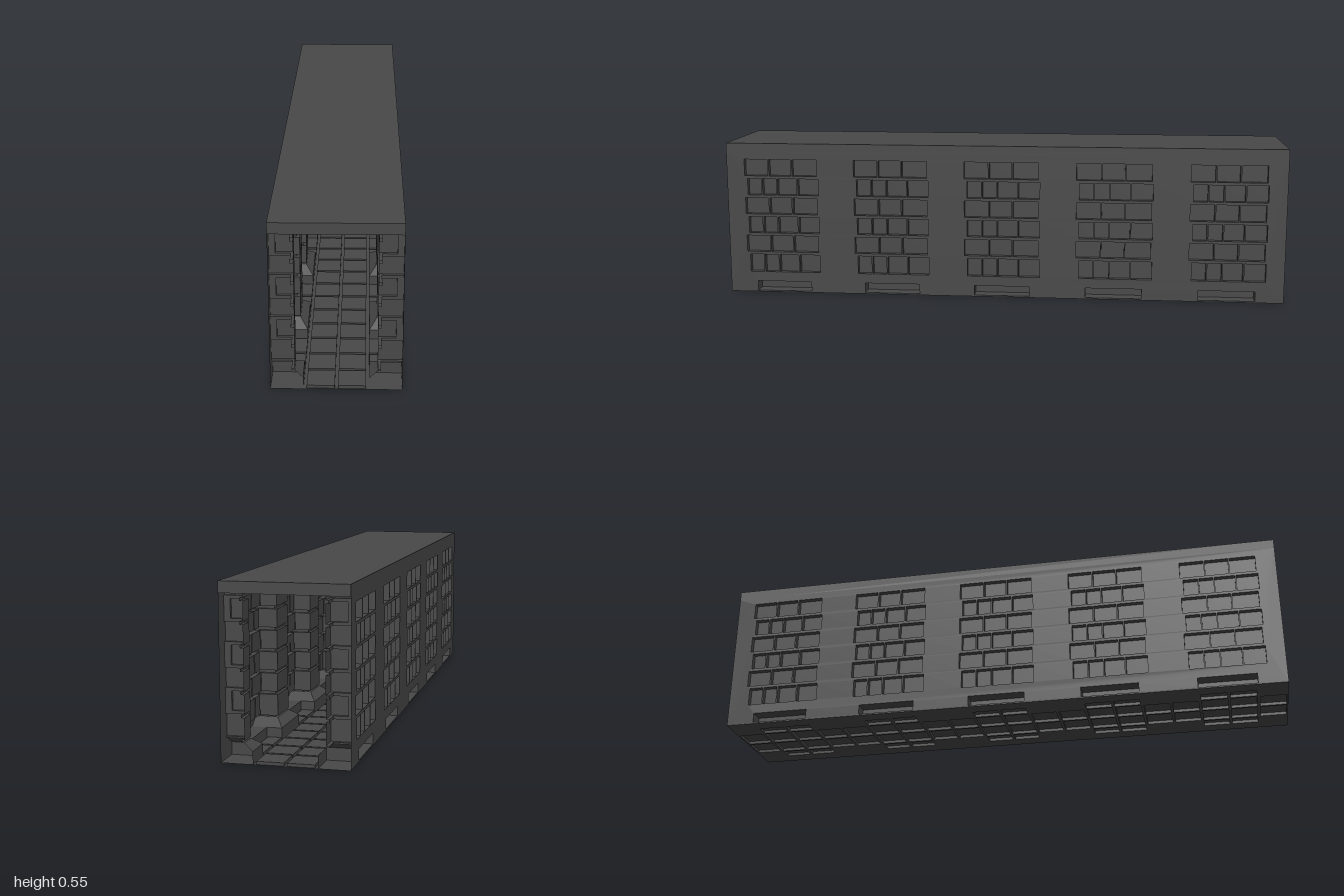
import * as THREE from 'three';
import { mergeGeometries } from 'three/addons/utils/BufferGeometryUtils.js';

const stone = new THREE.MeshStandardMaterial({ color: 0x484848, side: THREE.DoubleSide });
stone.name = 'dark stone';

const PX = 0, NY = 3; // box faces that can be left open

function mesh(name, geometry) {
  const m = new THREE.Mesh(geometry, stone);
  m.name = name;
  return m;
}

// Hollow box with one open face
function openBox([x0, x1], [y0, y1], [z0, z1], open) {
  const g = new THREE.BoxGeometry(x1 - x0, y1 - y0, z1 - z0);
  g.translate((x0 + x1) / 2, (y0 + y1) / 2, (z0 + z1) / 2);
  g.setIndex([...g.index.array].filter((_, i) => Math.floor(i / 6) !== open));
  g.clearGroups();
  return g;
}

// Flat sheet with rectangular holes given as [u0, u1, v0, v1]
function sheet(u0, u1, v0, v1, holes) {
  const rect = (Type, a, b, c, d) => {
    const p = new Type();
    p.moveTo(a, c); p.lineTo(b, c); p.lineTo(b, d); p.lineTo(a, d); p.closePath();
    return p;
  };
  const shape = rect(THREE.Shape, u0, u1, v0, v1);
  shape.holes = holes.map(([a, b, c, d]) => rect(THREE.Path, a, d === undefined ? a : b, c, d));
  return new THREE.ShapeGeometry(shape);
}

// Pillar levels: height, inner x, half width, x where block meets core, core half width
const CORE = [0.135, 0.05, 0.2, 0.05];
const LARGE = [0.125, 0.06, 0.2, 0.06];
const SMALL = [0.125, 0.06, 0.18, 0.05];
const levels = [[0, 0.1, 0.1, 0.2, 0.1], [0.04, 0.1, 0.1, 0.2, 0.1], [0.065, ...LARGE]];
for (const [y0, y1, block] of [
  [0.07, 0.14, LARGE], [0.15, 0.21, SMALL], [0.22, 0.28, LARGE], [0.29, 0.35, SMALL],
  [0.36, 0.42, LARGE], [0.43, 0.49, SMALL], [0.5, 0.512, LARGE],
]) {
  levels.push([levels[levels.length - 1][0], ...CORE], [y0, ...CORE], [y0, ...block], [y1, ...block]);
}

// Hollow pillar, open towards the wall; an end pillar keeps only one half
function pillar(zc, side) {
  const rings = levels.map(([y, xi, h, xb, hc]) => {
    const half = [[xi, h], [xb, h], [xb, hc], [0.2, hc]];
    const plus = half.map(([x, z]) => [x, y, zc + z]);
    const minus = half.map(([x, z]) => [x, y, zc - z]).reverse();
    if (side > 0) return [[xi, y, zc], ...plus];
    if (side < 0) return [...minus, [xi, y, zc]];
    return [...minus, ...plus];
  });
  const pos = [];
  for (let i = 0; i < rings.length - 1; i++) {
    const a = rings[i], b = rings[i + 1];
    for (let j = 0; j < a.length - 1; j++) {
      pos.push(...a[j], ...a[j + 1], ...b[j + 1], ...a[j], ...b[j + 1], ...b[j]);
    }
  }
  const g = new THREE.BufferGeometry();
  g.setAttribute('position', new THREE.Float32BufferAttribute(pos, 3));
  g.computeVertexNormals();
  return g;
}

// One wall on the +x side, with hollow bricks pushed inwards
function createWall() {
  const wall = new THREE.Group();
  const wide = [[0.05, 0.135], [-0.035, 0.045], [-0.13, -0.04]];
  const narrow = [[0.075, 0.125], [0.02, 0.07], [-0.055, 0.015], [-0.135, -0.06]];
  const rows = [[0.075, 0.14], [0.15, 0.21], [0.22, 0.28], [0.29, 0.35], [0.36, 0.42], [0.43, 0.49]];
  const holes = [], bricks = [], curbs = [], pillars = [];
  for (let i = 0; i < 5; i++) {
    const zc = 0.8 - i * 0.4;
    rows.forEach(([y0, y1], r) => {
      for (const [a, b] of r % 2 ? wide : narrow) {
        holes.push([-zc - b, -zc - a, y0, y1]);
        bricks.push(openBox([0.18, 0.2], [y0, y1], [zc + a, zc + b], PX));
      }
    });
    holes.push([-zc - 0.1, -zc + 0.1, 0.005, 0.04]);
    curbs.push(openBox([0.15, 0.2], [0.005, 0.04], [zc - 0.1, zc + 0.1], PX));
  }
  for (let i = 0; i <= 5; i++) pillars.push(pillar(1 - i * 0.4, i === 0 ? -1 : i === 5 ? 1 : 0));
  const plane = sheet(-1, 1, 0, 0.515, holes).rotateY(Math.PI / 2).translate(0.2, 0, 0);
  wall.add(
    mesh('wallSheet', plane),
    mesh('wallBricks', mergeGeometries(bricks)),
    mesh('curbs', mergeGeometries(curbs)),
    mesh('pillars', mergeGeometries(pillars)),
  );
  return wall;
}

// Floor sheet with shallow hollow tiles
function createFloor() {
  const floor = new THREE.Group();
  floor.name = 'floor';
  const holes = [], tiles = [];
  const addTile = (x0, x1, z0, z1) => {
    holes.push([x0, x1, z0, z1]);
    tiles.push(openBox([x0, x1], [0, 0.01], [z0, z1], NY));
  };
  for (let i = 0; i < 20; i++) {
    const z = -1 + i * 0.1;
    addTile(-0.09, -0.005, z + 0.005, z + 0.095);
    addTile(0.005, 0.09, z + 0.005, z + 0.095);
    // side tiles only fit between the pillar bases
    if (i % 4 === 1 || i % 4 === 2) {
      addTile(0.1, 0.145, z + 0.005, z + 0.095);
      addTile(-0.145, -0.1, z + 0.005, z + 0.095);
    }
  }
  floor.add(
    mesh('floorSheet', sheet(-0.2, 0.2, -1, 1, holes).rotateX(Math.PI / 2)),
    mesh('floorTiles', mergeGeometries(tiles)),
  );
  return floor;
}

export function createModel() {
  const model = new THREE.Group();
  model.name = 'corridor';

  const left = createWall();
  left.name = 'leftWall';
  const right = createWall();
  right.name = 'rightWall';
  right.rotation.y = Math.PI;

  const roof = mesh('roof', new THREE.BoxGeometry(0.4, 0.036, 2));
  roof.position.y = 0.53;

  model.add(left, right, createFloor(), roof);
  return model;
}
